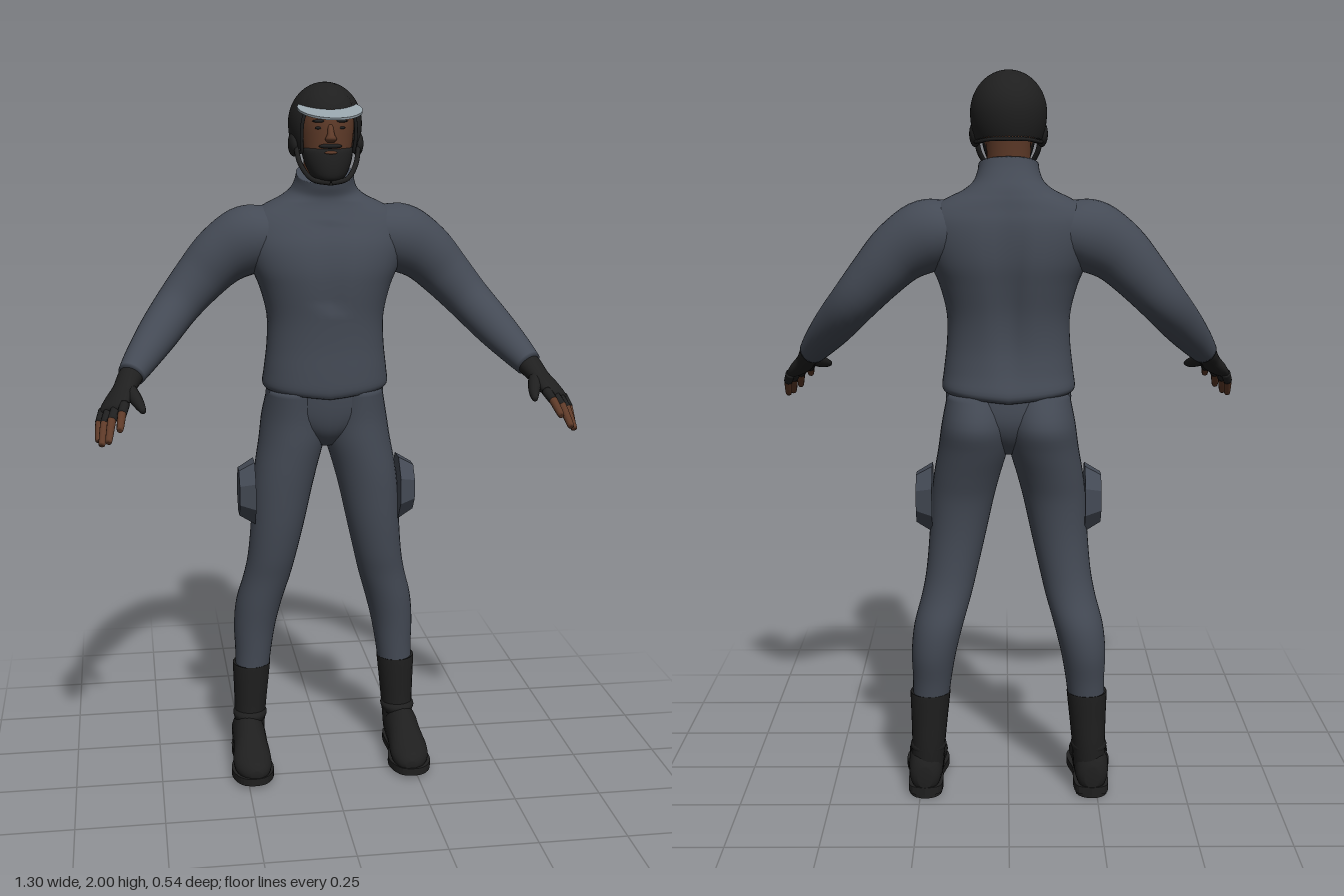
import * as THREE from 'three';

const V3 = (x, y, z) => new THREE.Vector3(x, y, z);
const X = V3(1, 0, 0), Y = V3(0, 1, 0), Z = V3(0, 0, 1);

const mat = (name, color, side = THREE.FrontSide) => {
  const m = new THREE.MeshStandardMaterial({ color, side });
  m.name = name;
  return m;
};

// Smooth interpolation through rows of numbers
function spline(rows, t) {
  const n = rows.length - 1, f = Math.min(t * n, n - 1e-6), i = Math.floor(f), u = f - i;
  const at = (k) => rows[Math.max(0, Math.min(n, k))];
  return rows[i].map((_, k) => {
    const a = at(i - 1)[k], b = at(i)[k], c = at(i + 1)[k], d = at(i + 2)[k];
    return b + 0.5 * u * (c - a + u * (2 * a - 5 * b + 4 * c - d + u * (3 * (b - c) + d - a)));
  });
}

// Skin over oval cross-sections; each row is x, y, z, radius a, radius b.
// "axis" keeps all sections parallel, "warp" moves finished points.
function loft(rows, { ref = Z, axis = null, steps = 4, sides = 24, power = 1, warp = null } = {}) {
  const n = (rows.length - 1) * steps, pos = [], idx = [];
  const centre = (t) => V3(...spline(rows, Math.max(0, Math.min(1, t))).slice(0, 3));
  const round = (c) => Math.sign(c) * Math.abs(c) ** power;
  for (let i = 0; i <= n; i++) {
    const r = spline(rows, i / n), c = centre(i / n);
    const T = axis ? axis.clone() : centre((i + 0.5) / n).sub(centre((i - 0.5) / n)).normalize();
    const U = ref.clone().cross(T).normalize(), W = T.clone().cross(U);
    for (let j = 0; j < sides; j++) {
      const a = (j / sides) * Math.PI * 2;
      const p = c.clone().addScaledVector(U, round(Math.cos(a)) * r[3]).addScaledVector(W, round(Math.sin(a)) * r[4]);
      if (warp) warp(p, c);
      pos.push(p.x, p.y, p.z);
    }
  }
  for (let i = 0; i < n; i++) for (let j = 0; j < sides; j++) {
    const a = i * sides + j, b = i * sides + (j + 1) % sides;
    idx.push(a, b, a + sides, b, b + sides, a + sides);
  }
  const s = pos.length / 3, last = n * sides;
  pos.push(...centre(0).toArray(), ...centre(1).toArray());
  for (let j = 0; j < sides; j++) {
    const k = (j + 1) % sides;
    idx.push(s, k, j, s + 1, last + j, last + k);
  }
  const g = new THREE.BufferGeometry();
  g.setAttribute('position', new THREE.Float32BufferAttribute(pos, 3));
  g.setIndex(idx);
  g.computeVertexNormals();
  return g;
}

export function createModel() {
  const model = new THREE.Group();
  const suit = mat('slate suit', 0x444a55);
  const black = mat('black gear', 0x1f1f1f, THREE.DoubleSide);
  const skin = mat('brown skin', 0x5e3a28);
  const visorGrey = mat('pale visor', 0x9aa7af);
  const add = (name, g, m) => {
    const mesh = new THREE.Mesh(g, m);
    mesh.name = name;
    model.add(mesh);
    return mesh;
  };
  const ball = (name, m, x, y, z, a, b, c) => {
    const g = new THREE.SphereGeometry(1, 20, 14);
    g.scale(a, b, c);
    g.translate(x, y, z);
    return add(name, g, m);
  };

  // Jacket: y, half width, front z, back z
  const torso = [
    [1.135, 0.172, -0.005, -0.245], [1.155, 0.18, 0.004, -0.255], [1.21, 0.175, 0.004, -0.243],
    [1.28, 0.167, 0.002, -0.235], [1.36, 0.166, 0.005, -0.24], [1.44, 0.185, 0.012, -0.255],
    [1.5, 0.21, 0.012, -0.265], [1.56, 0.228, 0, -0.265], [1.61, 0.228, -0.022, -0.258],
    [1.645, 0.205, -0.04, -0.246], [1.672, 0.16, -0.052, -0.236], [1.69, 0.122, -0.055, -0.225],
    [1.71, 0.095, -0.055, -0.208], [1.735, 0.083, -0.05, -0.19], [1.755, 0.08, -0.045, -0.182],
  ].map(([y, w, f, b]) => [0, y, (f + b) / 2, w, (f - b) / 2]);
  add('jacket', loft(torso, {
    axis: Y, sides: 48, power: 0.9,
    warp: (p, c) => {
      const y = p.y, k = Math.exp(-((p.x / 0.035) ** 2));
      const span = Math.max(0, Math.sin(Math.PI * (y - 1.16) / 0.54)) * (y < 1.7 ? 1 : 0);
      if (p.z < c.z) p.z += 0.022 * k * span; // spine groove
      else if (y > 1.4 && y < 1.62) p.z -= 0.01 * k * span; // chest groove
      if (y > 1.68) p.y -= (p.z - c.z) * 0.35 * Math.min(1, (y - 1.68) / 0.06); // tilted collar
      if (y < 1.2) p.y += Math.abs(p.x) * 0.1 * (1.2 - y) / 0.065; // curved hem
    },
  }), suit);

  // Hips between the legs
  add('hips', loft([
    [0, 0.985, -0.125, 0.03, 0.05], [0, 1.03, -0.128, 0.1, 0.092],
    [0, 1.09, -0.13, 0.165, 0.112], [0, 1.18, -0.122, 0.168, 0.112],
  ], { axis: Y, sides: 32 }), suit);

  for (const s of [1, -1]) {
    const side = s > 0 ? 'left' : 'right';
    const flip = (rows) => rows.map(([x, ...r]) => [s * x, ...r]);
    const limb = (name, m, rows, o) => add(side + name, loft(flip(rows), o), m);

    // Trouser leg
    limb('Leg', suit, [
      [0.085, 1.15, -0.125, 0.08, 0.11], [0.089, 1.07, -0.146, 0.092, 0.124], [0.096, 1.0, -0.137, 0.095, 0.115],
      [0.114, 0.92, -0.125, 0.091, 0.1], [0.127, 0.85, -0.118, 0.086, 0.088], [0.141, 0.75, -0.118, 0.078, 0.079],
      [0.157, 0.65, -0.127, 0.071, 0.073], [0.172, 0.58, -0.14, 0.069, 0.071], [0.194, 0.5, -0.157, 0.068, 0.076],
      [0.208, 0.42, -0.163, 0.062, 0.071], [0.214, 0.34, -0.158, 0.054, 0.06], [0.219, 0.27, -0.155, 0.05, 0.054],
    ], { axis: Y.clone().negate(), sides: 32 });

    // Thigh pad
    let pad = new THREE.CylinderGeometry(0.72, 1, 1, 8).rotateY(Math.PI / 8).scale(0.1, 0.045, 0.077);
    pad = pad.toNonIndexed();
    pad.computeVertexNormals();
    pad.rotateZ(-s * Math.PI / 2).translate(s * 0.232, 0.85, -0.105);
    add(side + 'ThighPad', pad, suit);

    // Boot: shaft, upper, sole and heel
    limb('BootShaft', black, [
      [0.219, 0.3, -0.155, 0.055, 0.058], [0.22, 0.295, -0.155, 0.056, 0.059], [0.223, 0.22, -0.155, 0.051, 0.056],
      [0.226, 0.15, -0.155, 0.047, 0.054], [0.23, 0.07, -0.15, 0.045, 0.052],
    ], { axis: Y.clone().negate() });
    limb('AnkleRoll', black, [
      [0.226, 0.155, -0.152, 0.044, 0.05], [0.227, 0.14, -0.15, 0.051, 0.058], [0.228, 0.12, -0.148, 0.044, 0.05],
    ], { axis: Y.clone().negate() });
    limb('BootUpper', black, [
      [0.235, 0.06, -0.212, 0.02, 0.03], [0.235, 0.07, -0.19, 0.044, 0.06], [0.234, 0.075, -0.12, 0.05, 0.072],
      [0.234, 0.068, -0.06, 0.051, 0.062], [0.235, 0.055, 0, 0.056, 0.048], [0.234, 0.047, 0.04, 0.052, 0.036],
      [0.231, 0.043, 0.068, 0.037, 0.027], [0.229, 0.04, 0.082, 0.016, 0.012],
    ], { ref: Y, axis: Z, warp: (p) => { p.y = Math.max(p.y, 0.02); } });
    const outline = [[0, -0.215], [0.04, -0.2], [0.05, -0.15], [0.048, -0.08], [0.062, -0.01], [0.058, 0.04],
      [0.035, 0.077], [0, 0.087], [-0.035, 0.075], [-0.056, 0.035], [-0.06, -0.01], [-0.046, -0.08],
      [-0.049, -0.15], [-0.04, -0.2]];
    const soleCurve = new THREE.SplineCurve([...outline, outline[0]].map(([x, z]) => new THREE.Vector2(x, -z)));
    const sole = new THREE.ExtrudeGeometry(new THREE.Shape(soleCurve.getPoints(48)), { depth: 0.022, bevelEnabled: false });
    sole.rotateX(-Math.PI / 2).translate(s * 0.235, 0.01, 0);
    add(side + 'Sole', sole, black);
    const heel = new THREE.CylinderGeometry(0.045, 0.045, 0.03, 20).translate(s * 0.235, 0.015, -0.168);
    add(side + 'Heel', heel, black);

    // Sleeve
    limb('Sleeve', suit, [
      [0.12, 1.59, -0.138, 0.07, 0.085], [0.175, 1.58, -0.14, 0.089, 0.095], [0.225, 1.567, -0.14, 0.096, 0.094],
      [0.29, 1.528, -0.14, 0.085, 0.081], [0.35, 1.468, -0.138, 0.074, 0.071], [0.415, 1.395, -0.118, 0.064, 0.066],
      [0.475, 1.325, -0.055, 0.057, 0.057], [0.525, 1.267, 0.012, 0.046, 0.046], [0.553, 1.233, 0.052, 0.037, 0.038],
    ], { sides: 32 });

    // Gloved palm, knuckles spreading from index to little finger
    const spread = V3(s * 0.055, -0.022, -0.04).normalize();
    limb('Glove', black, [
      [0.545, 1.242, 0.042, 0.03, 0.034], [0.556, 1.228, 0.06, 0.031, 0.036], [0.572, 1.205, 0.095, 0.025, 0.036],
      [0.59, 1.182, 0.13, 0.023, 0.045], [0.604, 1.165, 0.16, 0.017, 0.045], [0.608, 1.16, 0.168, 0.008, 0.036],
    ], { ref: spread });
    const fingers = {
      Index: [[0.572, 1.18, 0.17], [0.58, 1.163, 0.21], [0.586, 1.136, 0.264]],
      Middle: [[0.595, 1.168, 0.165], [0.607, 1.146, 0.205], [0.616, 1.104, 0.258]],
      Ring: [[0.613, 1.16, 0.152], [0.626, 1.134, 0.188], [0.634, 1.09, 0.23]],
      Little: [[0.628, 1.157, 0.135], [0.639, 1.13, 0.16], [0.643, 1.09, 0.19]],
    };
    for (const [name, [a, b, c]] of Object.entries(fingers)) {
      limb(name + 'GloveStub', black, [[...a, 0.014, 0.014], [...b, 0.0125, 0.0125]], { ref: X, sides: 12 });
      const near = a.map((v, k) => v + (b[k] - v) * 0.7);
      const tip = c.map((v, k) => v + (c[k] - b[k]) * 0.05);
      limb(name + 'Finger', skin, [[...near, 0.011, 0.011], [...b, 0.0115, 0.0115], [...c, 0.009, 0.009], [...tip, 0.004, 0.004]],
        { ref: X, sides: 12 });
    }
    limb('Thumb', black, [
      [0.562, 1.21, 0.09, 0.018, 0.018], [0.546, 1.193, 0.14, 0.018, 0.018],
      [0.533, 1.18, 0.185, 0.014, 0.014], [0.525, 1.172, 0.222, 0.008, 0.008],
    ], { ref: Y, sides: 14 });

    // Face details, ear cover and chin strap
    ball(side + 'Eye', black, s * 0.03, 1.881, -0.0125, 0.011, 0.004, 0.005);
    ball(side + 'Brow', black, s * 0.031, 1.899, -0.01, 0.018, 0.004, 0.006);
    ball(side + 'EarCover', black, s * 0.088, 1.835, -0.1, 0.016, 0.034, 0.04);
    const strap = new THREE.CatmullRomCurve3([V3(s * 0.086, 1.83, -0.07), V3(s * 0.077, 1.785, -0.05),
      V3(s * 0.048, 1.745, -0.02), V3(0, 1.735, -0.003)]);
    add(side + 'ChinStrap', new THREE.TubeGeometry(strap, 20, 0.007, 8), black);
  }

  // Neck, head and nose
  add('neck', loft([[0, 1.68, -0.125, 0.058, 0.055], [0, 1.76, -0.12, 0.058, 0.056], [0, 1.85, -0.125, 0.06, 0.06]], { axis: Y }), skin);
  add('head', loft([
    [0, 1.745, -0.05, 0.02, 0.03], [0, 1.76, -0.055, 0.045, 0.052], [0, 1.8, -0.075, 0.063, 0.072],
    [0, 1.85, -0.095, 0.074, 0.093], [0, 1.9, -0.1, 0.077, 0.096], [0, 1.95, -0.105, 0.07, 0.085], [0, 1.975, -0.11, 0.03, 0.04],
  ], { axis: Y, sides: 32 }), skin);
  add('nose', loft([
    [0, 1.89, -0.01, 0.007, 0.008], [0, 1.865, 0.002, 0.01, 0.013], [0, 1.852, 0.004, 0.016, 0.015], [0, 1.843, -0.002, 0.01, 0.008],
  ], { axis: Y.clone().negate(), sides: 16 }), skin);

  // Beard and moustache
  add('beard', loft([
    [0, 1.735, -0.04, 0.02, 0.03], [0, 1.75, -0.047, 0.046, 0.053], [0, 1.785, -0.06, 0.063, 0.069],
    [0, 1.82, -0.075, 0.071, 0.078], [0, 1.828, -0.08, 0.066, 0.07],
  ], { axis: Y, sides: 32 }), black);
  ball('moustache', black, 0, 1.833, -0.006, 0.032, 0.007, 0.011);
  ball('mouth', skin, 0, 1.816, 0, 0.018, 0.005, 0.008);

  // Helmet shell: dome whose lower edge rises over the face
  const shellPoint = (a, v) => {
    const d = Math.abs(Math.atan2(Math.sin(a), Math.cos(a)));
    const k = THREE.MathUtils.smoothstep(d, 0.7, 0.98);
    const low = THREE.MathUtils.lerp(1.25, 2.32 - 0.1 * THREE.MathUtils.smoothstep(d, 1.8, 2.8), k);
    const th = v * low, c = Math.cos(th), r = c > 0 ? Math.sin(th) : 1 - 0.3 * c * c;
    return V3(Math.sin(a) * r * 0.101, 1.89 + c * 0.11, -0.115 + Math.cos(a) * r * 0.12);
  };
  const shell = new THREE.SphereGeometry(1, 72, 24), sp = shell.attributes.position;
  for (let i = 0; i < sp.count; i++) {
    const p = shellPoint((i % 73) / 72 * Math.PI * 2, Math.floor(i / 73) / 24);
    sp.setXYZ(i, p.x, p.y, p.z);
  }
  // The last row of a sphere is a collapsed pole; add its open-edge triangles
  const tris = [...shell.index.array];
  for (let j = 0; j < 72; j++) tris.push(23 * 73 + j + 1, 24 * 73 + j, 24 * 73 + j + 1);
  shell.setIndex(tris);
  shell.computeVertexNormals();
  add('helmetShell', shell, black);
  const rim = Array.from({ length: 72 }, (_, j) => shellPoint(j / 72 * Math.PI * 2, 1));
  add('helmetRim', new THREE.TubeGeometry(new THREE.CatmullRomCurve3(rim, true), 144, 0.005, 8, true), black);

  // Visor peak: tilted crescent plate
  const peak = new THREE.Shape();
  const arc = (a, b, c, t) => new THREE.Vector2(Math.sin(t) * a, -(c + Math.cos(t) * b));
  const steps = Array.from({ length: 33 }, (_, i) => (i / 16 - 1) * 1.75);
  peak.setFromPoints([...steps.map((t) => arc(0.087, 0.125, -0.02, t)),
    ...steps.reverse().map((t) => arc(0.08, 0.113, -0.112, t * 0.72))]);
  const visor = new THREE.ExtrudeGeometry(peak, { depth: 0.006, bevelEnabled: false });
  visor.rotateX(-Math.PI / 2).rotateX(0.18).translate(0, 1.924, 0);
  add('visor', visor, visorGrey);

  return model;
}
